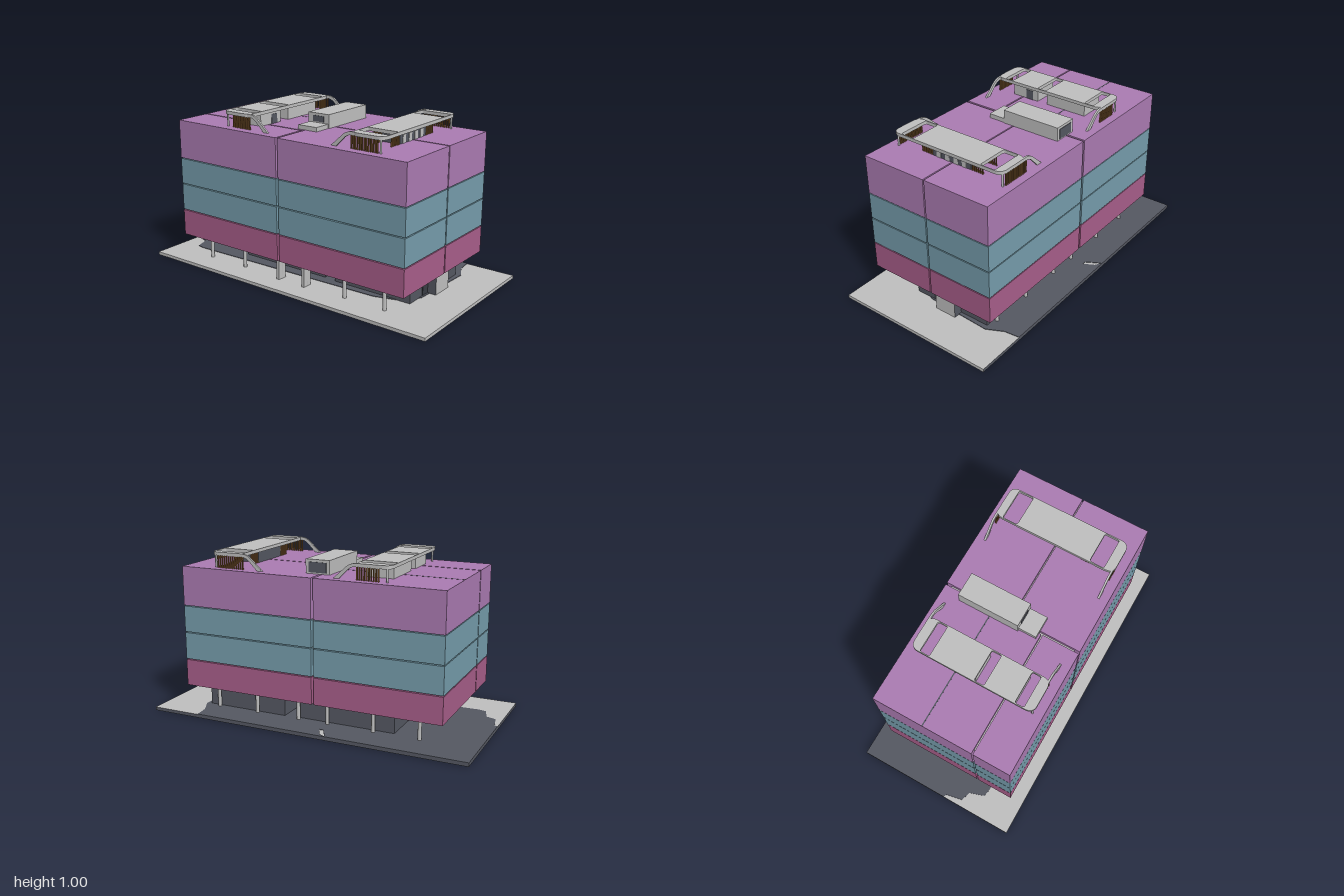
import * as THREE from 'three';

const mat = (name, color) => {
  const m = new THREE.MeshStandardMaterial({ color });
  m.name = name;
  return m;
};

export function createModel() {
  const root = new THREE.Group();
  root.name = 'building';
  const grey = mat('light grey', 0xbfbfbf);
  const slate = mat('slate', 0x555862);
  const purple = mat('purple', 0xab7bb2);
  const teal = mat('teal', 0x769dac);
  const magenta = mat('magenta', 0xa85e8a);
  const brown = mat('timber brown', 0x80592f);
  const dark = mat('vent dark', 0x3a3d45);

  const add = (name, geo, material, parent = root) => {
    const m = new THREE.Mesh(geo, material);
    m.name = name;
    parent.add(m);
    return m;
  };
  // box from its minimum and maximum on each axis
  const box = (name, x0, x1, y0, y1, z0, z1, material, parent) => {
    const m = add(name, new THREE.BoxGeometry(x1 - x0, y1 - y0, z1 - z0), material, parent);
    m.position.set((x0 + x1) / 2, (y0 + y1) / 2, (z0 + z1) / 2);
    return m;
  };
  // flat plate from a plan shape in x and z
  const plate = (name, shape, top, depth, material, parent) => {
    const geo = new THREE.ExtrudeGeometry(shape, { depth, bevelEnabled: false, curveSegments: 8 });
    geo.rotateX(Math.PI / 2);
    const m = add(name, geo, material, parent);
    m.position.y = top;
    return m;
  };
  const roundRect = (S, x0, x1, z0, z1, r) => {
    const s = new S();
    s.moveTo(x0 + r, z0);
    s.lineTo(x1 - r, z0);
    s.quadraticCurveTo(x1, z0, x1, z0 + r);
    s.lineTo(x1, z1 - r);
    s.quadraticCurveTo(x1, z1, x1 - r, z1);
    s.lineTo(x0 + r, z1);
    s.quadraticCurveTo(x0, z1, x0, z1 - r);
    s.lineTo(x0, z0 + r);
    s.quadraticCurveTo(x0, z0, x0 + r, z0);
    return s;
  };
  const points = (list) => list.map(([x, z]) => new THREE.Vector2(x, z));

  // ground slab and its dark paving
  box('groundSlab', -1, 1, 0, 0.02, -0.512, 0.512, [grey, slate, grey, slate, grey, slate]);
  const paving = new THREE.Shape(points([
    [-1, -0.512], [0.69, -0.512], [0.7, -0.42], [0.75, -0.32], [0.73, 0.1], [0.67, 0.2], [0.5, 0.25],
    [-0.82, 0.29], [-0.87, 0.28], [-0.9, 0.19], [-0.96, 0.17], [-0.98, 0.07], [-1, 0.06],
  ]));
  paving.holes.push(new THREE.Path(points([[-0.16, -0.508], [-0.12, -0.485], [-0.085, -0.42], [-0.11, -0.42]])));
  plate('darkPaving', paving, 0.023, 0.003, slate);

  // ground floor rooms
  const ground = new THREE.Group();
  ground.name = 'groundFloor';
  root.add(ground);
  box('leftRoom', -0.5, 0.12, 0.02, 0.165, -0.3, 0.2, slate, ground);
  box('rightRoom', 0.2, 0.72, 0.02, 0.165, -0.31, 0.21, slate, ground);
  box('entranceCore', 0.68, 0.775, 0.02, 0.165, -0.12, 0.02, [grey, grey, grey, grey, slate, slate], ground);
  box('door', 0.72, 0.724, 0.025, 0.15, 0.025, 0.08, dark, ground);
  for (const x0 of [-0.47, 0.28]) {
    for (let i = 0; i < 5; i++) {
      for (const y of [0.095, 0.11, 0.125]) {
        const x = x0 + i * 0.065;
        const z = x0 < 0 ? 0.2 : 0.21;
        box('vent', x, x + 0.035, y, y + 0.006, z, z + 0.003, dark, ground);
      }
    }
  }

  // columns along front and back
  for (const x of [-0.66, -0.38, -0.09, 0.1, 0.38, 0.65]) {
    for (const z of [0.36, -0.325]) {
      const c = add('column', new THREE.CylinderGeometry(0.011, 0.011, 0.145, 16), grey, ground);
      c.position.set(x, 0.0925, z);
    }
  }
  box('frontPier', -0.1, -0.08, 0.02, 0.165, 0.33, 0.39, grey, ground);
  box('frontPier', 0.09, 0.11, 0.02, 0.165, 0.33, 0.39, grey, ground);

  // storeys, split by narrow joints around an inner core
  box('innerCore', -0.79, 0.79, 0.175, 0.88, -0.385, 0.41, grey);
  const storeys = [
    ['firstStorey', 0.163, 0.325, magenta],
    ['secondStorey', 0.331, 0.495, teal],
    ['thirdStorey', 0.501, 0.66, teal],
    ['topStorey', 0.665, 0.902, purple],
  ];
  for (const [name, y0, y1, m] of storeys) {
    const g = new THREE.Group();
    g.name = name;
    root.add(g);
    box('rightFrontBlock', -0.82, -0.047, y0, y1, 0.213, 0.44, m, g);
    box('rightBackBlock', -0.82, -0.047, y0, y1, -0.416, 0.204, m, g);
    box('leftFrontBlock', -0.033, 0.82, y0, y1, 0.017, 0.44, m, g);
    box('leftBackBlock', -0.033, 0.82, y0, y1, -0.416, 0.009, m, g);
  }
  box('roofJoint', -0.82, -0.047, 0.9, 0.903, -0.106, -0.099, slate);

  // central roof box with a low step in front
  const Y = 0.902;
  const plant = new THREE.Group();
  plant.name = 'centralRoofBox';
  root.add(plant);
  box('plantRoom', -0.095, 0.055, Y, 0.985, -0.3, 0.08, grey, plant);
  box('plantStep', -0.085, 0.05, Y, 0.928, 0.08, 0.19, grey, plant);
  box('backOpening', -0.075, 0.035, 0.91, 0.97, -0.303, -0.3, slate, plant);
  box('frontOpening', -0.06, 0.02, 0.935, 0.97, 0.08, 0.083, slate, plant);

  // roof canopies: plate with openings, sloping arms, slat screens, posts
  const canopy = (name, x0, x1, openings, dir, slat0, slat1) => {
    const g = new THREE.Group();
    g.name = name;
    root.add(g);
    const s = roundRect(THREE.Shape, x0, x1, -0.368, 0.393, 0.05);
    for (const [z0, z1] of openings) s.holes.push(roundRect(THREE.Path, x0 + 0.006, x1 - 0.006, z0, z1, 0.012));
    plate('canopyRoof', s, 0.995, 0.02, grey, g);
    const inner = dir > 0 ? x1 : x0;
    const px = (d) => inner + dir * d;
    const arm = new THREE.Shape();
    arm.moveTo(px(-0.06), 0.995);
    arm.lineTo(px(0), 0.995);
    arm.quadraticCurveTo(px(0.035), 0.993, px(0.06), 0.97);
    arm.lineTo(px(0.135), Y);
    arm.lineTo(px(0.1), Y);
    arm.lineTo(px(0.045), 0.958);
    arm.quadraticCurveTo(px(0.02), 0.976, px(0), 0.976);
    arm.lineTo(px(-0.06), 0.976);
    for (const z of [0.375, -0.368]) {
      const geo = new THREE.ExtrudeGeometry(arm, { depth: 0.012, bevelEnabled: false, curveSegments: 8 });
      add('slopingArm', geo, grey, g).position.z = z;
    }
    for (const z of [0.381, -0.362]) {
      for (let x = slat0; x <= slat1; x += 0.014) {
        box('slat', x, x + 0.007, Y, 0.976, z - 0.004, z + 0.004, brown, g);
      }
    }
    const outer = dir > 0 ? x0 + 0.025 : x1 - 0.025;
    for (const z of [0.378, -0.355]) {
      const p = add('post', new THREE.CylinderGeometry(0.006, 0.006, 0.074, 12), grey, g);
      p.position.set(outer, 0.939, z);
    }
    return g;
  };

  const right = canopy('rightCanopy', -0.49, -0.283, [[-0.31, -0.25], [0.03, 0.09], [0.28, 0.335]], 1, -0.42, -0.28);
  box('roofHouse', -0.46, -0.3, Y, 0.976, -0.245, 0.025, grey, right);
  box('roofHouse', -0.46, -0.3, Y, 0.976, 0.095, 0.275, grey, right);
  box('houseDoor', -0.3, -0.297, Y, 0.96, 0.13, 0.18, slate, right);

  const left = canopy('leftCanopy', 0.437, 0.645, [[-0.32, -0.225], [0.243, 0.333]], -1, 0.43, 0.6);
  box('roofHouse', 0.47, 0.59, Y, 0.976, -0.12, 0.15, slate, left);
  for (const z of [0.107, 0.045, -0.015, -0.073]) {
    box('housePanel', 0.59, 0.593, Y, 0.95, z - 0.015, z + 0.015, grey, left);
  }
  for (const z0 of [0.155, -0.2]) {
    for (let i = 0; i < 6; i++) {
      for (const x of [0.47, 0.583]) {
        const z = z0 + i * 0.0135;
        box('sideSlat', x, x + 0.007, Y, 0.976, z, z + 0.007, brown, left);
      }
    }
  }
  return root;
}
